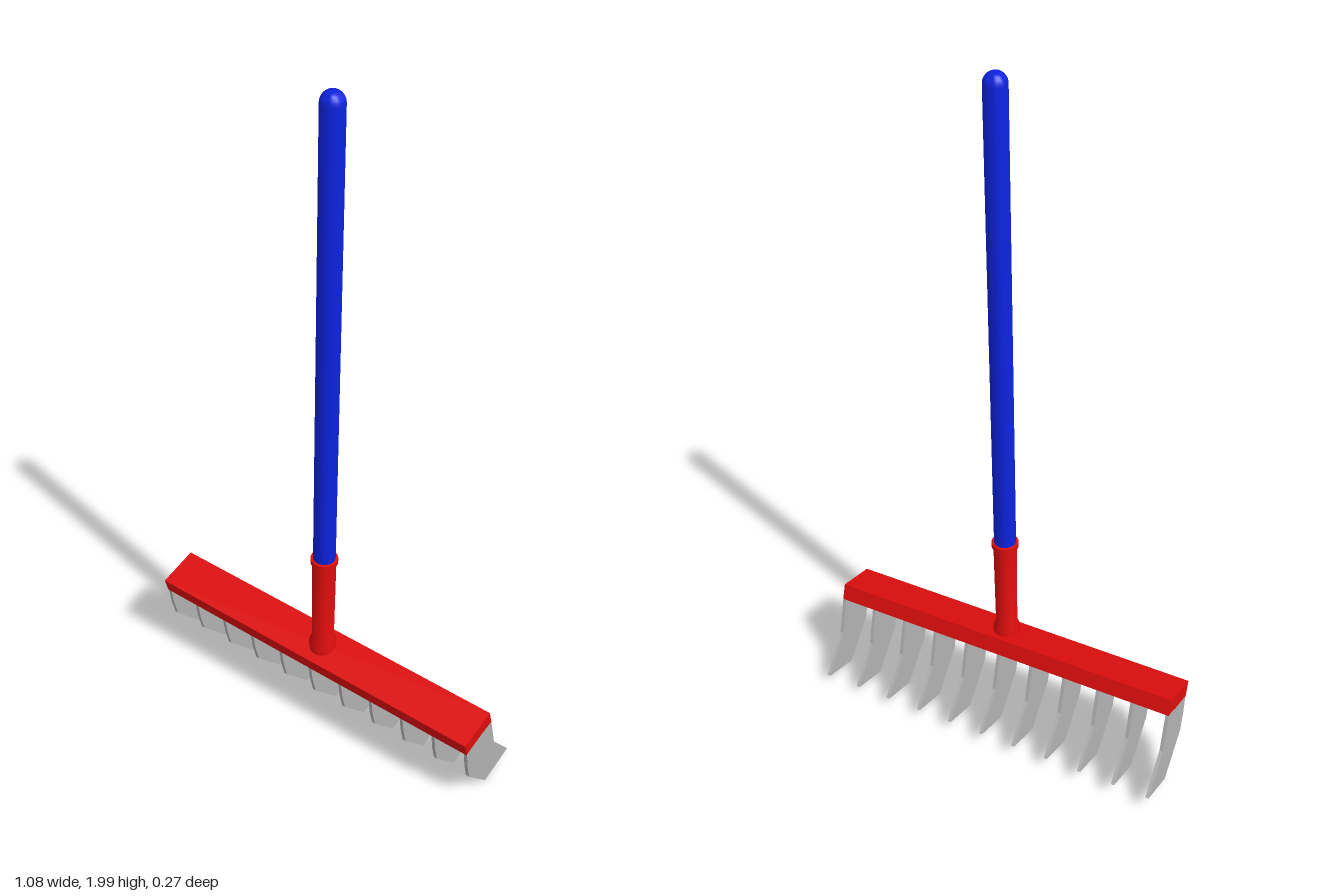
import * as THREE from 'three';
import { toCreasedNormals } from 'three/addons/utils/BufferGeometryUtils.js';

const red = new THREE.MeshStandardMaterial({ color: 0xdd0d0d });
red.name = 'red paint';
const blue = new THREE.MeshStandardMaterial({ color: 0x0c22dd });
blue.name = 'blue paint';
const steel = new THREE.MeshStandardMaterial({ color: 0xb2b2b2 });
steel.name = 'steel';

// Extrude a (z, y) profile along x, centred on x = 0
function sideProfile(points, width) {
  const shape = new THREE.Shape(points.map(([z, y]) => new THREE.Vector2(z, y)));
  return new THREE.ExtrudeGeometry(shape, { depth: width, bevelEnabled: false })
    .translate(0, 0, -width / 2)
    .rotateY(-Math.PI / 2);
}

// Turned part from (radius, y) points, listed bottom to top
function turned(points) {
  const profile = points.map(([r, y]) => new THREE.Vector2(r, y));
  return toCreasedNormals(new THREE.LatheGeometry(profile, 20), 0.6);
}

export function createModel() {
  const model = new THREE.Group();
  model.name = 'rake';

  function add(name, geometry, material, x, y, z) {
    const mesh = new THREE.Mesh(geometry, material);
    mesh.name = name;
    mesh.position.set(x, y, z);
    model.add(mesh);
  }

  // Head bar, sloping down towards the front
  add('headBar', sideProfile([
    [0.118, 0.233], [0.131, 0.279], [0.011, 0.307], [-0.004, 0.261],
  ], 1.068), red, -0.01, 0, 0);

  // Row of eleven bent flat tines
  const tine = sideProfile([
    [0.116, 0.236], [0.107, 0.178], [0.092, 0.122], [-0.006, 0.015],
    [-0.121, 0.046], [-0.034, 0.151], [-0.003, 0.264],
  ], 0.01);
  for (let i = -5; i <= 5; i++) {
    add('tine', tine, steel, -0.01 + i * 0.1058, 0, 0);
  }

  // Socket with flared foot and rolled lip
  add('socket', turned([
    [0, 0.265], [0.038, 0.265], [0.039, 0.315], [0.031, 0.335],
    [0.033, 0.607], [0.038, 0.61], [0.038, 0.625], [0.03, 0.626],
  ]), red, 0, 0, 0.068);

  // Handle with a domed end
  const handle = [[0, 0.55], [0.031, 0.55]];
  for (let i = 0; i <= 6; i++) {
    const a = (i / 6) * Math.PI / 2;
    handle.push([0.031 * Math.cos(a), 1.968 + 0.031 * Math.sin(a)]);
  }
  add('handle', turned(handle), blue, 0, 0, 0.068);

  // The whole rake leans and turns very slightly
  model.rotation.set(0, 0.0125, -0.021);
  model.position.x = 0.004;

  const root = new THREE.Group();
  root.name = 'gardenRake';
  root.add(model);
  return root;
}
